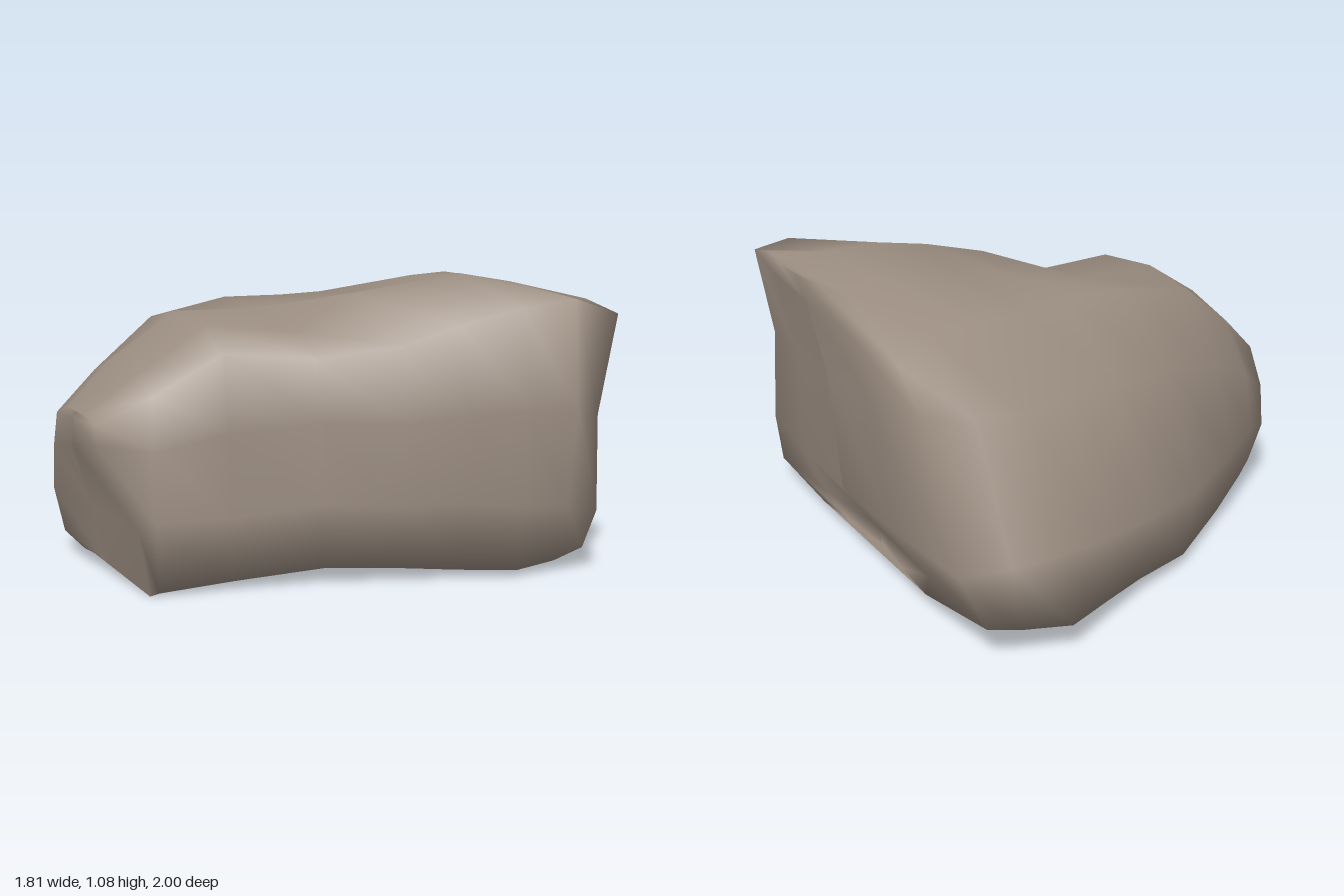
import * as THREE from 'three';

// A boulder lofted through closed cross-sections along x.
// Wall points are [z, y, optional x offset], from the front rim over the top to the back rim;
// two more points close the shallow underside.
function section(x, ...points) {
  const wall = points.map(([z, y, dx = 0]) => new THREE.Vector3(x + dx, y, z));
  const front = wall[0], back = wall[wall.length - 1];
  const under = [0.25, 0.75].map((t) => back.clone().lerp(front, t).setY(0.05));
  return [...wall, ...under];
}

// Closes an end by folding the front and back halves of a section together.
function seam(ring, t, bulge, rimBulge) {
  const wallEnd = ring.length - 3;
  return ring.map((p, i) => {
    const partner = i <= wallEnd ? wallEnd - i : 2 * wallEnd + 3 - i;
    const middle = p.clone().add(ring[partner]).multiplyScalar(0.5);
    const q = p.clone().lerp(middle, t);
    q.x += i === 0 || i >= wallEnd ? rimBulge : bulge;
    return q;
  });
}

function loft(rings) {
  const n = rings[0].length;
  const positions = rings.flat().flatMap((p) => [p.x, p.y, p.z]);
  const index = [];
  for (let k = 0; k < rings.length - 1; k++) {
    for (let i = 0; i < n; i++) {
      const a = k * n + i, c = k * n + ((i + 1) % n);
      index.push(a, a + n, c, a + n, c + n, c);
    }
  }
  const geometry = new THREE.BufferGeometry();
  geometry.setAttribute('position', new THREE.Float32BufferAttribute(positions, 3));
  geometry.setIndex(index);
  geometry.computeVertexNormals();
  return geometry;
}

export function createModel() {
  const stone = new THREE.MeshStandardMaterial({ color: 0x9a8c80, side: THREE.DoubleSide });
  stone.name = 'warm grey stone';

  // Narrow end
  const narrow = section(-0.87, [0.52, 0, 0.13], [0.49, 0.23, 0.1], [0.45, 0.53, -0.03], [0.33, 0.58], [0.2, 0.6],
    [0, 0.6], [-0.15, 0.56], [-0.24, 0.42, 0.01], [-0.26, 0.25, 0.01], [-0.22, 0.08, 0.04]);
  const shoulder = section(-0.71, [0.53, 0.01], [0.51, 0.25], [0.5, 0.5], [0.46, 0.68], [0.32, 0.75],
    [0.05, 0.78], [-0.18, 0.71], [-0.32, 0.52], [-0.37, 0.3], [-0.31, 0.07]);
  // Lower top, with a shallow upright fold in the front wall
  const hump = section(-0.45, [0.56, 0.03], [0.54, 0.25], [0.53, 0.55], [0.48, 0.82], [0.32, 0.91],
    [0, 0.94], [-0.26, 0.9], [-0.45, 0.64], [-0.56, 0.32], [-0.49, 0.05]);
  const fold = section(-0.12, [0.62, 0.055], [0.6, 0.28], [0.6, 0.58], [0.56, 0.8], [0.36, 0.88],
    [0, 0.94], [-0.3, 0.965], [-0.59, 0.74], [-0.77, 0.32], [-0.71, 0.045]);
  // Raised top, dropping a little behind its front crest
  const rise = section(0.14, [0.72, 0.05], [0.75, 0.28], [0.76, 0.58], [0.71, 0.85], [0.32, 1.01],
    [0.04, 0.965], [-0.32, 0.965], [-0.64, 0.75], [-0.85, 0.32], [-0.8, 0.06]);
  const dip = section(0.35, [0.76, 0.03], [0.79, 0.28], [0.8, 0.6], [0.76, 0.92], [0.4, 1.05],
    [0.12, 0.99], [-0.37, 0.97], [-0.67, 0.75], [-0.9, 0.32], [-0.9, 0.08]);
  const crest = section(0.55, [0.84, 0.025], [0.89, 0.27], [0.9, 0.62], [0.85, 0.98], [0.42, 1.08],
    [0.05, 1.055], [-0.34, 0.965], [-0.7, 0.74], [-0.92, 0.32], [-1, 0.1]);
  const brow = section(0.72, [0.83, 0.04], [0.91, 0.26], [0.95, 0.62], [0.92, 1.01], [0.5, 1.05],
    [0.03, 1.065], [-0.36, 0.95], [-0.68, 0.75], [-0.91, 0.31], [-0.95, 0.11]);
  // Wide end, tucked in towards the base
  const wide = section(0.86, [0.84, 0.08, -0.02], [0.93, 0.24, -0.03], [0.97, 0.6, -0.07], [1, 0.96, -0.02], [0.8, 1.0, -0.01],
    [0, 1.025, 0], [-0.43, 0.9, 0.02], [-0.61, 0.77, 0.03], [-0.85, 0.3, 0.03], [-0.92, 0.13, -0.03]);

  const rings = [
    seam(narrow, 1, -0.005, 0), narrow, shoulder, hump, fold, rise, dip, crest, brow, wide,
    seam(wide, 0.5, 0.035, -0.015), seam(wide, 1, 0.045, -0.04),
  ];

  const boulder = new THREE.Mesh(loft(rings), stone);
  boulder.name = 'boulder';
  const group = new THREE.Group();
  group.name = 'rock';
  group.add(boulder);
  return group;
}
